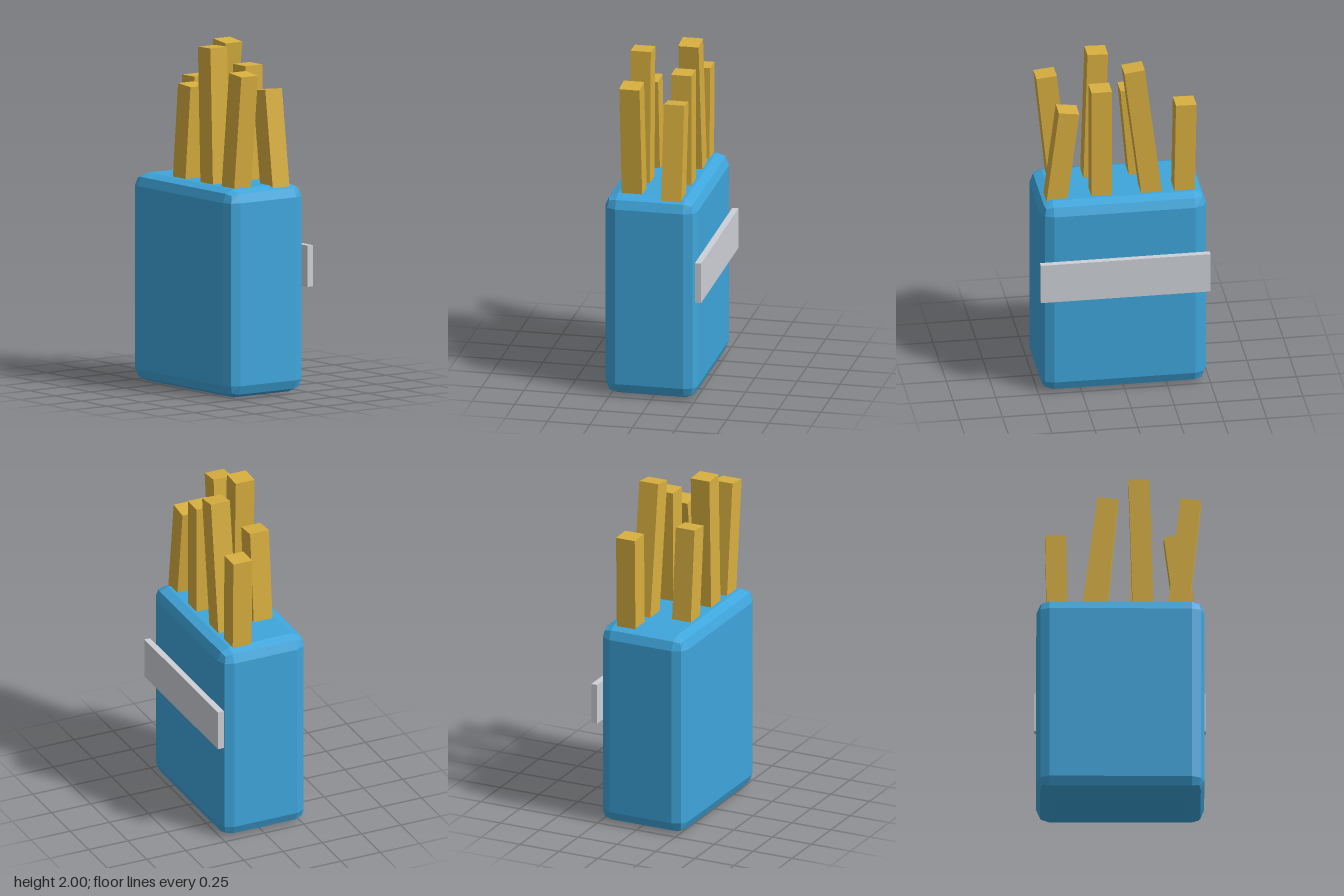
import * as THREE from 'three';
import { RoundedBoxGeometry } from 'three/addons/geometries/RoundedBoxGeometry.js';

export function createModel() {
  const blue = new THREE.MeshStandardMaterial({ name: 'blue', color: 0x3fa6dc, flatShading: true });
  const gold = new THREE.MeshStandardMaterial({ name: 'golden yellow', color: 0xd8af3f, flatShading: true });
  const grey = new THREE.MeshStandardMaterial({ name: 'light grey', color: 0xcdd0d7, flatShading: true });

  const model = new THREE.Group();
  model.name = 'stickContainer';

  const add = (name, geometry, material, x, y, z) => {
    const mesh = new THREE.Mesh(geometry, material);
    mesh.name = name;
    mesh.position.set(x, y, z);
    model.add(mesh);
    return mesh;
  };

  // Container with bevelled edges
  add('container', new RoundedBoxGeometry(0.966, 1.21, 0.546, 1, 0.073), blue, 0, 0.605, 0.017);

  // Flat bar across the back
  add('backBar', new THREE.BoxGeometry(0.988, 0.24, 0.037), grey, 0, 0.73, -0.2745);

  // Sticks, each hung from the middle of its top: [x, top y, lean toward +x]
  const width = 0.12;
  const addRow = (name, z, sticks) => sticks.forEach(([x, top, lean], i) => {
    const length = top - 1.1;
    const geometry = new THREE.BoxGeometry(width, length, width).translate(0, -length / 2, 0);
    add(name + (i + 1), geometry, gold, x, top, z).rotation.z = -lean;
  });

  addRow('backStick', -0.105, [
    [-0.372, 1.755, -0.018],
    [-0.071, 1.992, 0.126],
    [0.12, 1.875, 0],
    [0.31, 1.752, -0.127],
  ]);
  addRow('frontStick', 0.137, [
    [-0.086, 1.755, 0.089],
    [0.106, 1.997, -0.03],
    [0.404, 1.872, 0.105],
  ]);

  return model;
}
